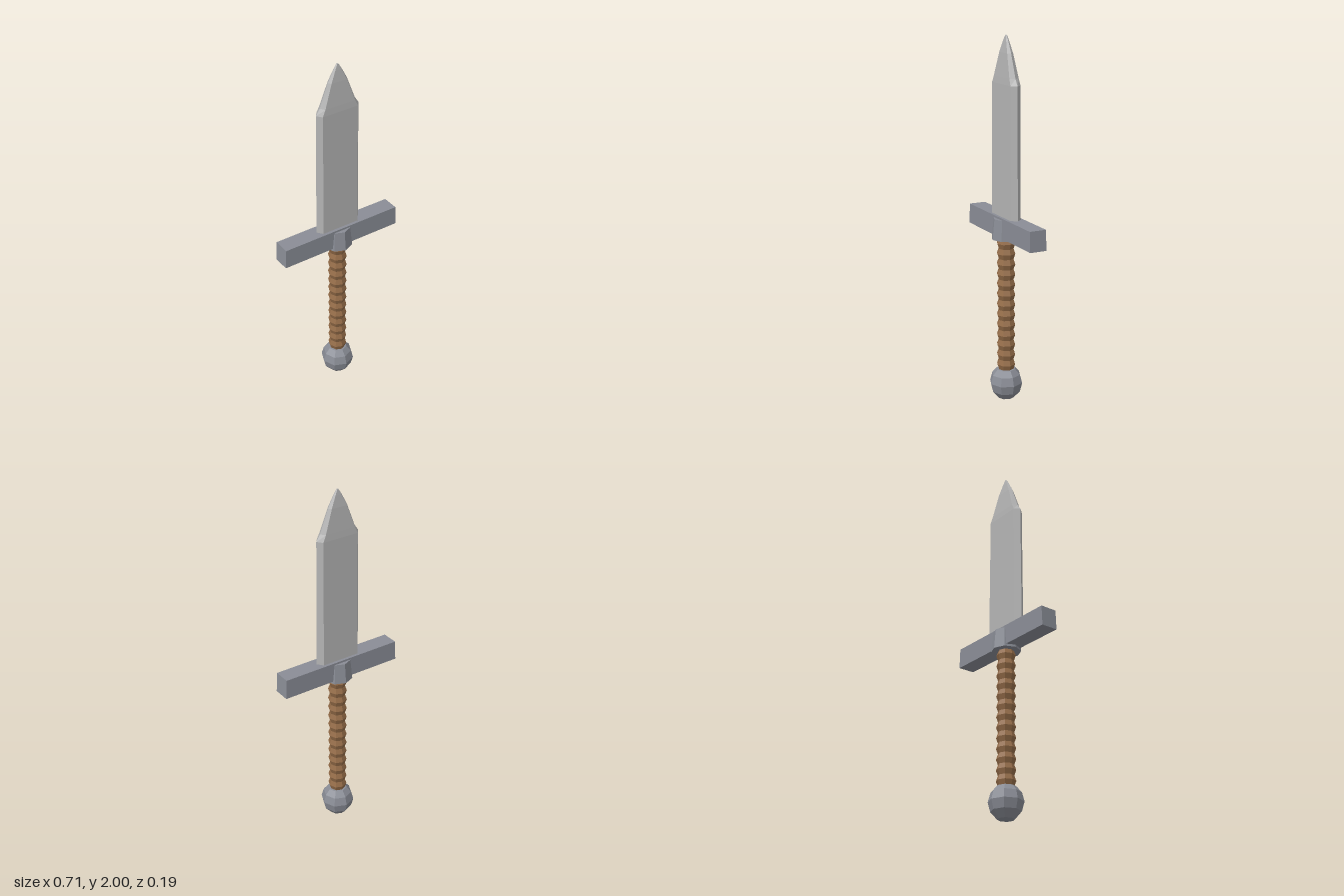
import * as THREE from 'three';

const flat = (name, color) => {
  const m = new THREE.MeshStandardMaterial({ color, flatShading: true });
  m.name = name;
  return m;
};

// Hexagonal blade skinned through sections [y, edge half width, ridge half width, half depth]
function bladeGeometry(sections) {
  const pos = [], index = [];
  for (const [y, w, r, d] of sections) {
    for (const [x, z] of [[w, 0], [r, d], [-r, d], [-w, 0], [-r, -d], [r, -d]]) pos.push(x, y, z);
  }
  const last = (sections.length - 1) * 6;
  for (let s = 0; s < last; s += 6) {
    for (let i = 0; i < 6; i++) {
      const a = s + i, b = s + (i + 1) % 6;
      index.push(a, a + 6, b, b, a + 6, b + 6);
    }
  }
  // end caps
  for (let i = 1; i < 5; i++) {
    index.push(0, i, i + 1);
    index.push(last, last + i + 1, last + i);
  }
  const g = new THREE.BufferGeometry();
  g.setAttribute('position', new THREE.Float32BufferAttribute(pos, 3));
  g.setIndex(index);
  g.computeVertexNormals();
  return g;
}

// Eight-sided turned part from [radius, y] points, listed bottom to top
const turned = (points) =>
  new THREE.LatheGeometry(points.map(([r, y]) => new THREE.Vector2(r, y)), 8);

export function createModel() {
  const group = new THREE.Group();
  const steel = flat('blade steel', 0xb4b4b4);
  const iron = flat('dark iron', 0x8a8d96);
  const leather = flat('brown leather', 0x946c48);

  const add = (name, geometry, material, y = 0) => {
    const mesh = new THREE.Mesh(geometry, material);
    mesh.name = name;
    mesh.position.y = y;
    group.add(mesh);
    return mesh;
  };

  // Blade with a shoulder below the curved point
  add('blade', bladeGeometry([
    [1.0, 0.133, 0.108, 0.031],
    [1.75, 0.127, 0.104, 0.029],
    [1.785, 0.104, 0.088, 0.027],
    [1.91, 0.056, 0.045, 0.017],
    [1.97, 0.024, 0.018, 0.009],
    [2.0, 0.005, 0.003, 0.004],
  ]), steel);

  // Crossguard, slightly narrower along its top
  const guard = new THREE.BoxGeometry(0.71, 0.11, 0.094);
  const p = guard.attributes.position;
  for (let i = 0; i < p.count; i++) if (p.getY(i) > 0) p.setX(i, p.getX(i) * 0.985);
  add('crossguard', guard, iron, 0.99);

  // Tapered collar around the middle of the guard
  add('collar', new THREE.CylinderGeometry(0.07, 0.081, 0.112, 8), iron, 0.978);

  // Ribbed grip
  const ribs = 13, bottom = 0.178, step = 0.0575;
  const profile = [];
  for (let i = 0; i < ribs; i++) {
    profile.push([0.042, bottom + i * step], [0.052, bottom + (i + 0.5) * step]);
  }
  profile.push([0.042, bottom + ribs * step]);
  add('grip', turned(profile), leather);

  // Faceted pommel
  add('pommel', turned([
    [0, 0], [0.045, 0.01], [0.08, 0.05], [0.093, 0.1],
    [0.08, 0.147], [0.053, 0.178], [0, 0.183],
  ]), iron);

  return group;
}
